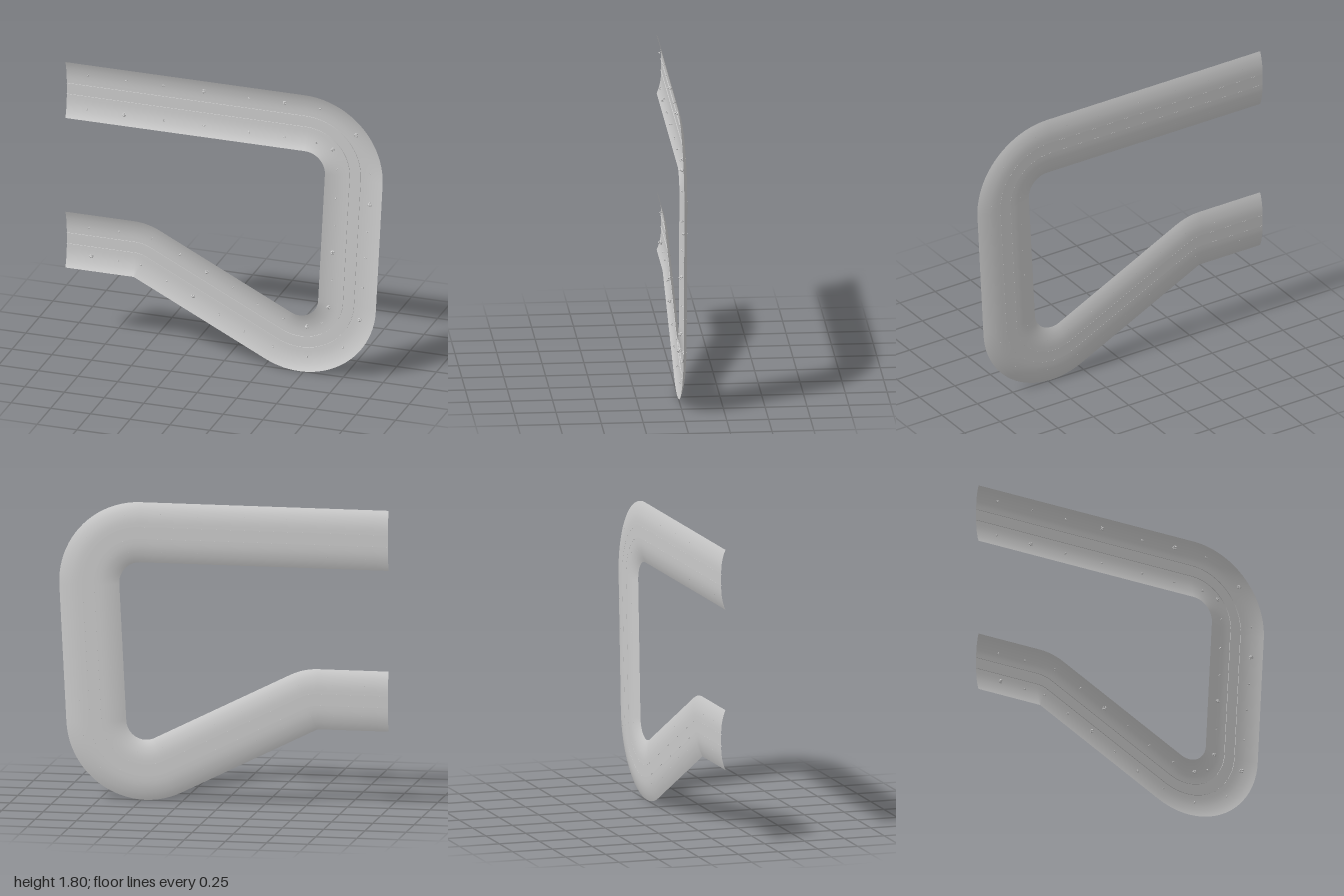
import * as THREE from 'three';
import { mergeGeometries } from 'three/addons/utils/BufferGeometryUtils.js';

const HALF = 0.182; // half width of the valley strip
const ROAD = 0.035; // half width of the road

// Corners of the centre line: x, y, bend radius
const CORNERS = [
  [-1, 1.617, 0], [0.833, 1.617, 0.31], [0.75, 0.006, 0.3], [-0.526, 0.643, 0.19], [-1, 0.643, 0],
];

// Half cross-section of the valley: distance from the centre line, height
const BANK = [
  [0, -0.024], [ROAD, -0.024], [0.06, -0.0235], [0.085, -0.022], [0.11, -0.0185],
  [0.135, -0.013], [0.16, -0.006], [HALF, 0.003],
];

function groundHeight(d) {
  for (let i = 1; i < BANK.length; i++) {
    const [d0, z0] = BANK[i - 1], [d1, z1] = BANK[i];
    if (d <= d1) return z0 + (z1 - z0) * (d - d0) / (d1 - d0);
  }
  return BANK[BANK.length - 1][1];
}

// Straight runs joined by circular bends, as stations { p: point, n: sideways normal }
function centreLine() {
  const stations = [];
  const add = (p, dir) => stations.push({ p, n: new THREE.Vector2(-dir.y, dir.x) });
  const run = (a, b) => {
    const dir = b.clone().sub(a), steps = Math.max(1, Math.round(dir.length() / 0.08));
    const unit = dir.clone().normalize();
    for (let i = 0; i < steps; i++) add(a.clone().addScaledVector(dir, i / steps), unit);
  };
  const pts = CORNERS.map(([x, y]) => new THREE.Vector2(x, y));
  let start = pts[0];
  for (let i = 1; i < pts.length - 1; i++) {
    const din = pts[i].clone().sub(pts[i - 1]).normalize();
    const dout = pts[i + 1].clone().sub(pts[i]).normalize();
    const r = CORNERS[i][2];
    const turn = Math.atan2(din.cross(dout), din.dot(dout));
    const side = Math.sign(turn);
    const t0 = pts[i].clone().addScaledVector(din, -r * Math.tan(Math.abs(turn) / 2));
    run(start, t0);
    const centre = t0.clone().add(new THREE.Vector2(-din.y, din.x).multiplyScalar(r * side));
    const steps = Math.ceil(Math.abs(turn) / 0.08);
    for (let k = 0; k < steps; k++) {
      const a = turn * k / steps;
      add(t0.clone().rotateAround(centre, a), din.clone().rotateAround(new THREE.Vector2(), a));
    }
    start = t0.clone().rotateAround(centre, turn);
  }
  const end = pts[pts.length - 1];
  run(start, end);
  add(end, end.clone().sub(start).normalize());
  return stations;
}

// Carries a cross-section of [offset, height] points along the stations
function sweep(stations, profile) {
  const pos = [], idx = [], m = profile.length;
  stations.forEach(({ p, n }, i) => {
    for (const [s, z] of profile) pos.push(p.x + n.x * s, p.y + n.y * s, z);
    if (!i) return;
    for (let j = 0; j < m - 1; j++) {
      const a = (i - 1) * m + j, b = a + m;
      idx.push(a, b, a + 1, b, b + 1, a + 1);
    }
  });
  const g = new THREE.BufferGeometry();
  g.setAttribute('position', new THREE.Float32BufferAttribute(pos, 3));
  g.setIndex(idx);
  g.computeVertexNormals();
  return g;
}

// A bush: short stem and a cluster of faceted leaf clumps, growing towards +z
function bushGeometry(clumps) {
  const parts = [new THREE.CylinderGeometry(0.001, 0.002, 0.014, 5)
    .rotateX(Math.PI / 2).translate(0, 0, 0.005).toNonIndexed()];
  for (let i = 0; i < clumps; i++) {
    const a = i * 2.4, r = i ? 0.0065 : 0;
    const size = 0.0055 - 0.0006 * (i % 3);
    parts.push(new THREE.IcosahedronGeometry(size, 0).rotateX(a).rotateZ(a * 2)
      .translate(Math.cos(a) * r, Math.sin(a) * r, i ? 0.009 + 0.003 * (i % 3) : 0.02));
  }
  return mergeGeometries(parts);
}

// Bush positions: x, y, and 1 for a large one
const BUSHES = [
  // upper straight
  [-0.86, 1.73], [-0.62, 1.73], [-0.385, 1.73], [-0.13, 1.73, 1], [0.155, 1.725], [0.38, 1.73, 1], [0.6, 1.72],
  [-0.865, 1.505], [-0.63, 1.505, 1], [-0.385, 1.505], [-0.13, 1.505], [0.155, 1.505], [0.375, 1.505],
  [0.575, 1.495], [0.68, 1.465, 1], [0.83, 1.58, 1],
  // right side
  [0.705, 1.34], [0.915, 1.34], [0.7, 1.15], [0.915, 1.14, 1], [0.695, 0.97], [0.9, 0.96],
  [0.68, 0.795, 1], [0.885, 0.79], [0.675, 0.615], [0.87, 0.59], [0.655, 0.435, 1], [0.85, 0.38, 1],
];
const LOWER_BUSHES = [
  // lower bend and slope
  [0.61, 0.325], [0.745, 0.185], [0.52, 0.29, 1], [0.52, 0.095], [0.37, 0.32], [0.305, 0.13],
  [0.205, 0.39], [0.12, 0.2], [0.05, 0.475], [-0.035, 0.29], [-0.11, 0.555, 1], [-0.2, 0.385, 1],
  [-0.28, 0.645], [-0.365, 0.46], [-0.46, 0.725], [-0.53, 0.54],
  // lower straight
  [-0.665, 0.735], [-0.67, 0.545], [-0.855, 0.735], [-0.84, 0.555, 1],
];

export function createModel() {
  const group = new THREE.Group();
  const smooth = new THREE.MeshStandardMaterial({ color: 0xcccccc, side: THREE.DoubleSide });
  const faceted = new THREE.MeshStandardMaterial({ color: 0xcccccc, side: THREE.DoubleSide, flatShading: true });
  const stations = centreLine();
  const addMesh = (name, geometry, material, parent = group) => {
    const mesh = new THREE.Mesh(geometry, material);
    mesh.name = name;
    parent.add(mesh);
    return mesh;
  };

  // Road bed
  addMesh('road', sweep(stations, [[ROAD, BANK[1][1]], [-ROAD, BANK[1][1]]]), smooth);

  // Sloping banks and guard rails, one per side
  const bank = BANK.slice(1);
  for (const side of [1, -1]) {
    const label = side > 0 ? 'outer' : 'inner';
    const slope = bank.map(([d, z]) => [d * side, z]);
    if (side > 0) slope.reverse();
    addMesh(label + 'Bank', sweep(stations, slope), smooth);
    const c = side * ROAD, low = -0.0245, high = -0.0195, w = 0.001;
    const rail = [[c + w, low], [c + w, high], [c - w, high], [c - w, low], [c + w, low]].reverse();
    addMesh(label + 'GuardRail', sweep(stations, rail.reverse()), faceted);
  }

  // Roadside bushes, standing on the banks
  const bushes = new THREE.Group();
  bushes.name = 'bushes';
  group.add(bushes);
  const small = bushGeometry(3), large = bushGeometry(7);
  [...BUSHES, ...LOWER_BUSHES].forEach(([x, y, big], i) => {
    const at = new THREE.Vector2(x, y);
    const d = Math.min(...stations.map((s, k) => {
      const next = stations[k + 1] || s;
      const seg = next.p.clone().sub(s.p);
      const t = THREE.MathUtils.clamp(at.clone().sub(s.p).dot(seg) / (seg.lengthSq() || 1), 0, 1);
      return at.distanceTo(s.p.clone().addScaledVector(seg, t));
    }));
    const bush = addMesh(big ? 'largeBush' : 'smallBush', big ? large : small, faceted, bushes);
    bush.position.set(x, y, groundHeight(d));
    bush.rotation.z = i * 1.7;
    bush.scale.setScalar(big ? 1.2 : 0.8);
  });
  return group;
}
